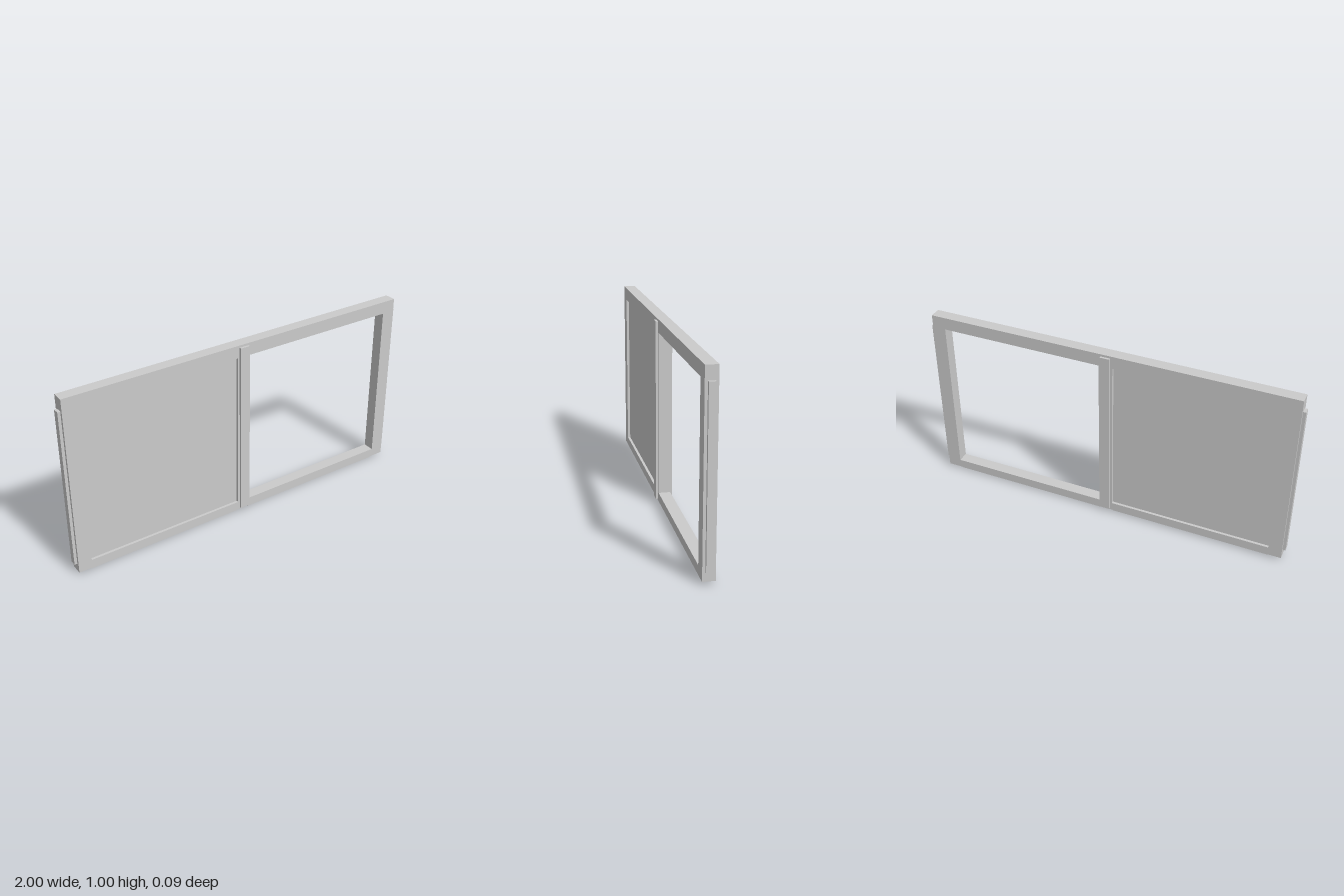
import * as THREE from 'three';

const material = new THREE.MeshStandardMaterial({ color: 0xcccccc });

// Main dimensions
const OUT_X = 0.985, BOTTOM = 0.016, TOP = 0.996, FRAME_Z = 0.031;
const IN_X0 = 0.037, IN_X1 = 0.913, IN_Y0 = 0.063, IN_Y1 = 0.928;
const PANEL_Z = 0.017;

function rect(PathType, x0, y0, x1, y1) {
  const p = new PathType();
  p.moveTo(x0, y0);
  p.lineTo(x1, y0);
  p.lineTo(x1, y1);
  p.lineTo(x0, y1);
  p.closePath();
  return p;
}

// Box given by its x and y limits and half depth in z
function box(name, x0, x1, y0, y1, halfZ) {
  const mesh = new THREE.Mesh(new THREE.BoxGeometry(x1 - x0, y1 - y0, 2 * halfZ), material);
  mesh.position.set((x0 + x1) / 2, (y0 + y1) / 2, 0);
  mesh.name = name;
  return mesh;
}

export function createModel() {
  const model = new THREE.Group();
  model.name = 'slidingWindowFrame';

  // Outer frame with two openings
  const shape = rect(THREE.Shape, -OUT_X, BOTTOM, OUT_X, TOP);
  shape.holes.push(
    rect(THREE.Path, -IN_X1, IN_Y0, -IN_X0, IN_Y1),
    rect(THREE.Path, IN_X0, IN_Y0, IN_X1, IN_Y1)
  );
  const frameGeometry = new THREE.ExtrudeGeometry(shape, { depth: 2 * FRAME_Z, bevelEnabled: false });
  frameGeometry.translate(0, 0, -FRAME_Z);
  const frame = new THREE.Mesh(frameGeometry, material);
  frame.name = 'frame';
  model.add(frame);

  // Recessed panel filling the right opening
  model.add(box('panel', -IN_X1, -IN_X0, IN_Y0, IN_Y1, PANEL_Z));

  // Raised strip on both faces of the centre post
  model.add(box('centreStrip', -0.026, 0.026, 0.026, 0.984, 0.043));

  // Tongues along the sides and underneath
  model.add(
    box('leftTongue', OUT_X, 1, IN_Y0, IN_Y1, PANEL_Z),
    box('rightTongue', -1, -OUT_X, IN_Y0, IN_Y1, PANEL_Z),
    box('bottomLeftTongue', IN_X0, IN_X1, 0, BOTTOM, PANEL_Z),
    box('bottomRightTongue', -IN_X1, -IN_X0, 0, BOTTOM, PANEL_Z)
  );

  return model;
}
